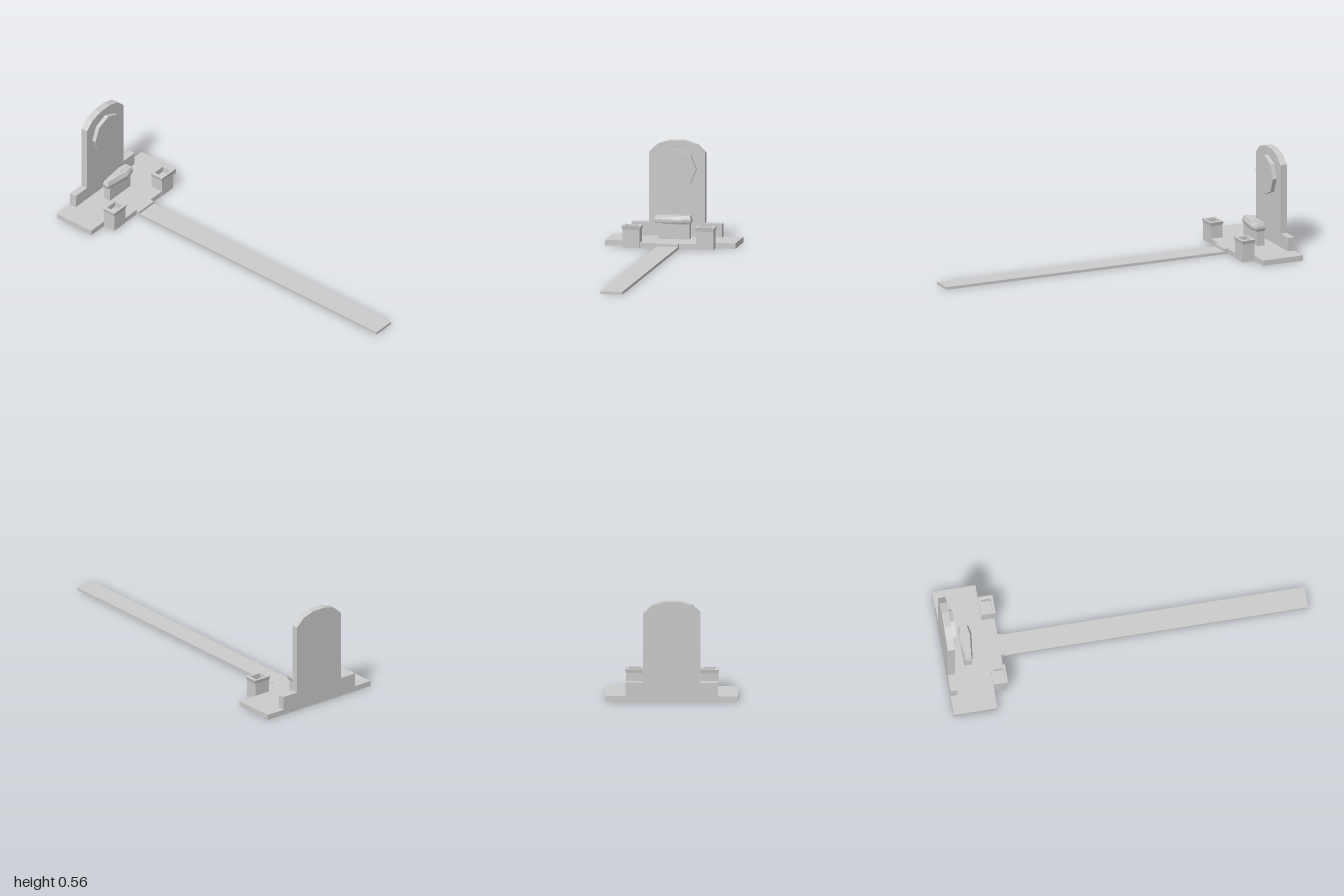
import * as THREE from 'three';

const material = new THREE.MeshStandardMaterial({ color: 0xcccccc, flatShading: true, side: THREE.DoubleSide });

function add(parent, name, geometry) {
  const mesh = new THREE.Mesh(geometry, material);
  mesh.name = name;
  parent.add(mesh);
  return mesh;
}

// Box given by its limits on each axis
function box(x0, x1, y0, y1, z0, z1) {
  return new THREE.BoxGeometry(x1 - x0, y1 - y0, z1 - z0)
    .translate((x0 + x1) / 2, (y0 + y1) / 2, (z0 + z1) / 2);
}

// Floor slab from an [x, z] outline, hollow underneath
function openSlab(outline, height) {
  const shape = new THREE.Shape(outline.map(([x, z]) => new THREE.Vector2(x, -z)));
  const solid = new THREE.ExtrudeGeometry(shape, { depth: height, bevelEnabled: false }).rotateX(-Math.PI / 2);
  const p = solid.toNonIndexed().attributes.position;
  const kept = [];
  for (let i = 0; i < p.count; i += 3) {
    if (Math.max(p.getY(i), p.getY(i + 1), p.getY(i + 2)) < 1e-4) continue;
    for (let j = i; j < i + 3; j++) kept.push(p.getX(j), p.getY(j), p.getZ(j));
  }
  const geometry = new THREE.BufferGeometry();
  geometry.setAttribute('position', new THREE.Float32BufferAttribute(kept, 3));
  geometry.computeVertexNormals();
  return geometry;
}

// Skin over rings of [x, y, z] points; the last ring is capped, the first if asked
function loft(rings, capStart) {
  const n = rings[0].length;
  const index = [];
  for (let r = 0; r < rings.length - 1; r++) {
    for (let i = 0; i < n; i++) {
      const a = r * n + i, b = r * n + (i + 1) % n;
      index.push(a, b, b + n, a, b + n, a + n);
    }
  }
  const last = (rings.length - 1) * n;
  for (let i = 1; i < n - 1; i++) {
    index.push(last, last + i, last + i + 1);
    if (capStart) index.push(0, i + 1, i);
  }
  const geometry = new THREE.BufferGeometry();
  geometry.setAttribute('position', new THREE.Float32BufferAttribute(rings.flat(2), 3));
  geometry.setIndex(index);
  geometry.computeVertexNormals();
  return geometry;
}

export function createModel() {
  const group = new THREE.Group();

  // Stepped platform, with a tongue leading to the walkway
  const half = [[-1, 0.36], [-0.76, 0.36], [-0.76, 0.155], [-0.69, 0.155], [-0.69, 0.06], [-0.667, 0.06]];
  const mirrored = half.map(([x, z]) => [x, -z]).reverse();
  add(group, 'platform', openSlab([...half, ...mirrored], 0.03));
  add(group, 'walkway', openSlab([[-0.667, 0.06], [1, 0.06], [1, -0.06], [-0.667, -0.06]], 0.015));

  // Upright wall with a faceted arched top
  const arch = [[0.155, 0.03], [0.155, 0.49], [0.107, 0.535], [0.041, 0.555]];
  const outline = [...arch, ...arch.map(([z, y]) => [-z, y]).reverse()];
  const wall = new THREE.Shape(outline.map(([z, y]) => new THREE.Vector2(z, y)));
  add(group, 'backWall', new THREE.ExtrudeGeometry(wall, { depth: 0.04, bevelEnabled: false })
    .rotateY(Math.PI / 2).translate(-1, 0, 0));

  // Octagonal window on the wall
  add(group, 'roundWindow', new THREE.CylinderGeometry(0.11, 0.11, 0.023, 8)
    .rotateZ(-Math.PI / 2).translate(-0.9485, 0.402, 0));

  // Flared pedestals with a square well on top, and low blocks beside the wall
  const profile = [
    [0.036, 0.048, 0], [0.036, 0.048, 0.1], [0.04, 0.054, 0.121],
    [0.026, 0.034, 0.121], [0.026, 0.034, 0.09],
  ];
  for (const side of [1, -1]) {
    const prefix = side > 0 ? 'left' : 'right';
    const rings = profile.map(([w, d, y]) => [[-w, y, d], [w, y, d], [w, y, -d], [-w, y, -d]]);
    add(group, prefix + 'Pedestal', loft(rings, false)).position.set(-0.724, 0, side * 0.203);
    const z = [side * 0.155, side * 0.25].sort((a, b) => a - b);
    add(group, prefix + 'WallBlock', box(-1, -0.96, 0.03, 0.105, z[0], z[1]));
  }

  // Coffin with a swollen waist, resting on a plinth
  add(group, 'plinth', box(-0.897, -0.853, 0.03, 0.115, -0.088, 0.088));
  const coffin = [[-0.018, 0.105], [0.018, 0.105], [0.038, -0.048], [0.027, -0.098], [-0.027, -0.098], [-0.038, -0.048]];
  const layers = [[0.113, 0.85, 0.93], [0.126, 1, 0.99], [0.138, 1, 1], [0.158, 0.72, 0.93]];
  add(group, 'coffin', loft(layers.map(([y, sx, sz]) =>
    coffin.map(([x, z]) => [x * sx, y, z * sz])), true)).position.x = -0.872;

  // Thin cross on the lid
  add(group, 'crossStem', box(-0.876, -0.868, 0.156, 0.161, -0.078, -0.02));
  add(group, 'crossArms', box(-0.888, -0.856, 0.156, 0.161, -0.06, -0.05));

  return group;
}
